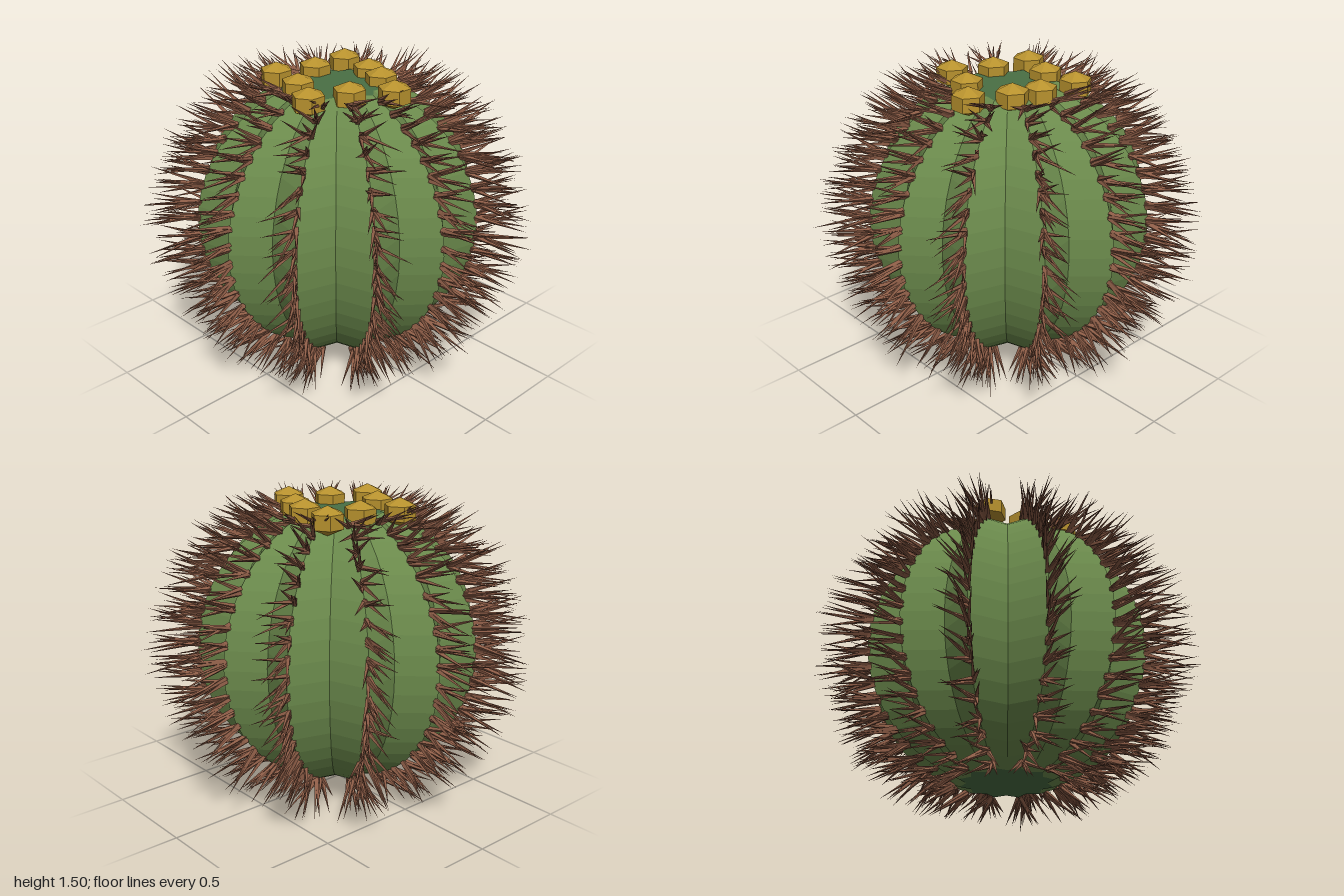
import * as THREE from 'three';
import { mergeGeometries } from 'three/addons/utils/BufferGeometryUtils.js';

const RIBS = 12, RADIUS = 0.7, CENTER_Y = 0.76, VALLEY = 0.83;
const POLE = 0.34; // angle from the pole at which the body is cut flat

// Lathe whose every second column is pulled in, giving a ribbed star section
function ribbed(points) {
  const geo = new THREE.LatheGeometry(points, RIBS * 2);
  const pos = geo.attributes.position;
  for (let i = 0; i < pos.count; i++) {
    const column = Math.floor(i / points.length);
    const k = column % 2 ? VALLEY : 1;
    pos.setX(i, pos.getX(i) * k);
    pos.setZ(i, pos.getZ(i) * k);
  }
  geo.computeVertexNormals();
  return geo;
}

const profileAt = (a) => new THREE.Vector2(RADIUS * Math.sin(a), CENTER_Y - RADIUS * Math.cos(a));

function seeded(seed) {
  return () => {
    seed = (seed * 16807) % 2147483647;
    return seed / 2147483647;
  };
}

function part(name, geometry, color) {
  const mesh = new THREE.Mesh(geometry, new THREE.MeshStandardMaterial({ color, flatShading: true }));
  mesh.name = name;
  return mesh;
}

// Thin pointed cone from base to tip
function spine(base, tip) {
  const dir = tip.clone().sub(base);
  const length = dir.length();
  const geo = new THREE.ConeGeometry(0.013, length, 4, 1, true);
  geo.translate(0, length / 2, 0);
  geo.applyQuaternion(new THREE.Quaternion().setFromUnitVectors(new THREE.Vector3(0, 1, 0), dir.normalize()));
  return geo.translate(base.x, base.y, base.z);
}

// Clusters of spines running up the crest of one rib
function spineRow(angle, rand) {
  const rows = 20, perCluster = 6, list = [];
  const out = new THREE.Vector3(Math.sin(angle), 0, Math.cos(angle));
  const side = new THREE.Vector3(Math.cos(angle), 0, -Math.sin(angle));
  const spread = (amount) => (rand() * 2 - 1) * amount;
  for (let i = 0; i < rows; i++) {
    const a = THREE.MathUtils.lerp(0.4, Math.PI - 0.42, i / (rows - 1));
    const p = profileAt(a);
    for (let j = 0; j < perCluster; j++) {
      const base = out.clone().multiplyScalar(p.x - 0.01);
      base.y = p.y + spread(0.015);
      const dir = out.clone().multiplyScalar(Math.sin(a) + 0.1)
        .addScaledVector(side, spread(0.42));
      dir.y = -0.4 * Math.cos(a) + spread(0.35);
      const length = 0.16 + 0.06 * Math.sin(a) + 0.075 * rand();
      const tip = base.clone().addScaledVector(dir.normalize(), length);
      tip.y = THREE.MathUtils.clamp(tip.y, 0.005, 1.48);
      list.push(spine(base, tip));
    }
  }
  return mergeGeometries(list);
}

export function createModel() {
  const model = new THREE.Group();
  model.name = 'barrelCactus';

  // Ribbed body
  const rows = 18, profile = [];
  for (let i = 0; i <= rows; i++) profile.push(profileAt(THREE.MathUtils.lerp(POLE, Math.PI - POLE, i / rows)));
  model.add(part('body', ribbed(profile), 0x6b8a4c));

  // Flat star-shaped ends
  const bottom = profile[0], top = profile[rows];
  model.add(part('bottomCap', ribbed([new THREE.Vector2(0, bottom.y), bottom]), 0x4a6f44));
  model.add(part('topCap', ribbed([top, new THREE.Vector2(0, top.y)]), 0x4a6f44));

  // Spines along every rib
  const rand = seeded(4711);
  const spines = new THREE.Group();
  spines.name = 'spines';
  for (let r = 0; r < RIBS; r++) {
    spines.add(part('spineRow', spineRow((r / RIBS) * Math.PI * 2, rand), 0x8c5c46));
  }
  model.add(spines);

  // Hexagonal flower buds around the crown
  const buds = new THREE.Group();
  buds.name = 'flowerBuds';
  const budGeo = new THREE.SphereGeometry(0.09, 6, 3).scale(1, 0.78, 1);
  const spots = [
    [-0.15, -0.27], [0.04, -0.2], [0.24, -0.2], [-0.19, -0.07], [0.21, 0],
    [-0.29, 0.11], [0.16, 0.13], [-0.1, 0.18], [0.06, 0.31],
  ];
  for (const [x, z] of spots) {
    const bud = part('flowerBud', budGeo, 0xb8922e);
    bud.position.set(x, 1.43, z);
    buds.add(bud);
  }
  model.add(buds);
  return model;
}
